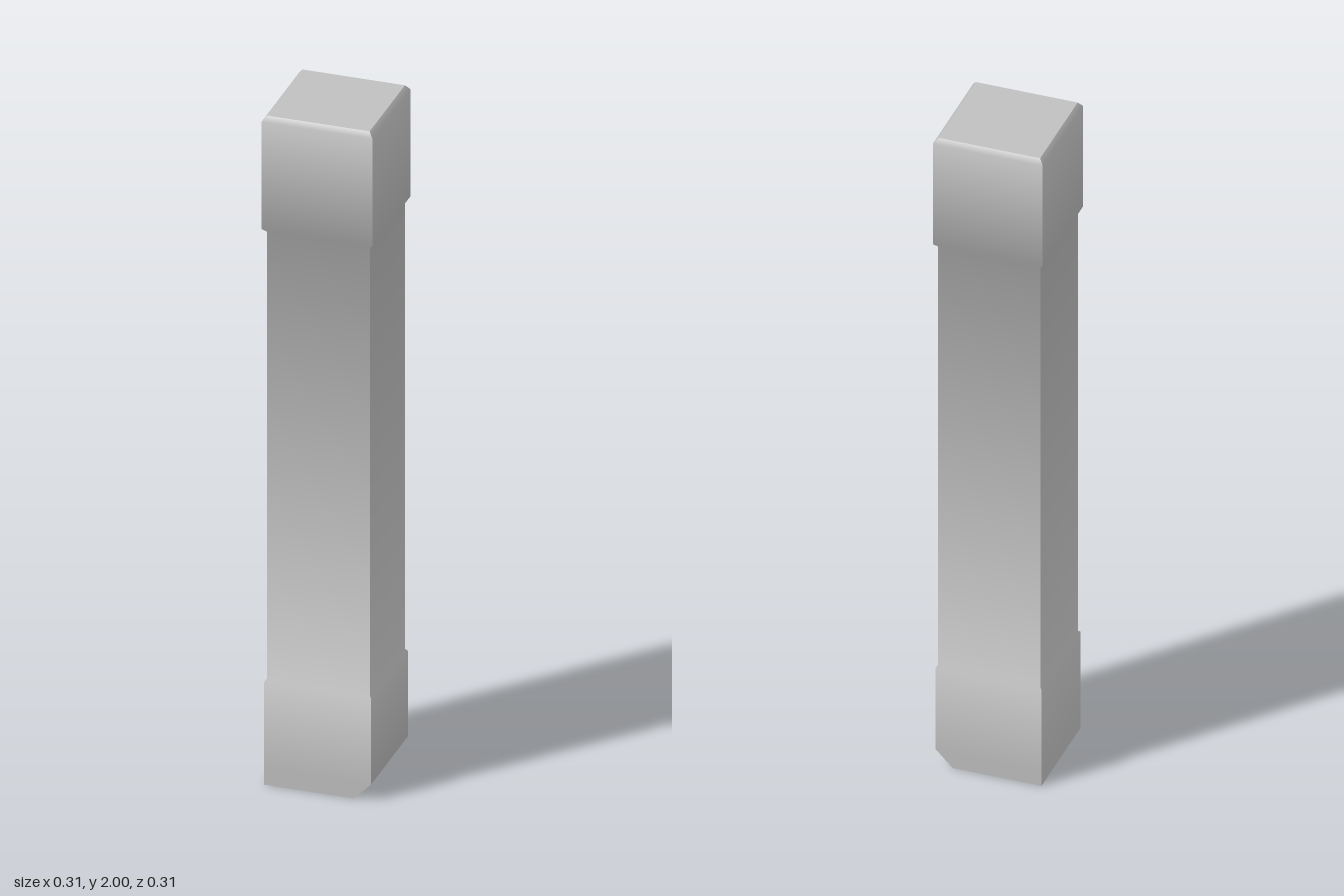
import * as THREE from 'three';

// Cross-sections from bottom to top: [y, xMin, xMax, zHalf]
const ring = (y, h, xMax = h) => [y, -h, xMax, h];
const RINGS = [
  ring(0, 0.151, 0.102), ring(0.05, 0.151), ring(0.307, 0.151),  // foot, one lower edge cut off
  ring(0.313, 0.1455), ring(1.653, 0.1455),                      // shaft
  ring(1.664, 0.1565), ring(1.985, 0.1565), ring(2, 0.145),      // bevelled cap
];
const UNDERSIDE = ring(0, 0.151, -0.151);

// Each side: its two edge corners, distance outwards, and outward direction
const SIDES = [
  { a: r => [r[1], r[0], r[3]], b: r => [r[2], r[0], r[3]], out: r => r[3], dir: [0, 1] },
  { a: r => [r[2], r[0], r[3]], b: r => [r[2], r[0], -r[3]], out: r => r[2], dir: [1, 0], under: true },
  { a: r => [r[2], r[0], -r[3]], b: r => [r[1], r[0], -r[3]], out: r => r[3], dir: [0, -1] },
  { a: r => [r[1], r[0], -r[3]], b: r => [r[1], r[0], r[3]], out: r => -r[1], dir: [-1, 0] },
];

// Normals are smooth up each side and sharp at the vertical corners
function ringNormals(rings, side) {
  const faces = rings.slice(1).map((r, i) => {
    const p = rings[i];
    return new THREE.Vector2(r[0] - p[0], side.out(p) - side.out(r)).normalize();
  });
  return rings.map((_, i) => {
    const n = new THREE.Vector2();
    if (i > 0) n.add(faces[i - 1]);
    if (i < faces.length) n.add(faces[i]);
    n.normalize();
    return [n.x * side.dir[0], n.y, n.x * side.dir[1]];
  });
}

// Four side strips between two rings of the stack
function section(from, to) {
  const pos = [], nor = [], index = [];
  for (const side of SIDES) {
    const rings = side.under ? [UNDERSIDE, ...RINGS] : RINGS;
    const shift = side.under ? 1 : 0;
    const normals = ringNormals(rings, side);
    const start = from === 0 ? 0 : from + shift;
    for (let i = start; i <= to + shift; i++) {
      const k = pos.length / 3;
      pos.push(...side.a(rings[i]), ...side.b(rings[i]));
      nor.push(...normals[i], ...normals[i]);
      if (i < to + shift) index.push(k, k + 1, k + 3, k, k + 3, k + 2);
    }
  }
  const g = new THREE.BufferGeometry();
  g.setAttribute('position', new THREE.Float32BufferAttribute(pos, 3));
  g.setAttribute('normal', new THREE.Float32BufferAttribute(nor, 3));
  g.setIndex(index);
  return g;
}

export function createModel() {
  const group = new THREE.Group();
  group.name = 'post';
  const stone = new THREE.MeshStandardMaterial({ color: 0xc0c0c0 });
  stone.name = 'light grey';

  const add = (name, geometry) => {
    const mesh = new THREE.Mesh(geometry, stone);
    mesh.name = name;
    group.add(mesh);
    return mesh;
  };

  add('foot', section(0, 3));
  add('shaft', section(3, 4));
  add('cap', section(4, 7));

  // Flat top of the cap
  const top = add('capTop', new THREE.PlaneGeometry(0.29, 0.29).rotateX(-Math.PI / 2));
  top.position.y = 2;
  return group;
}
